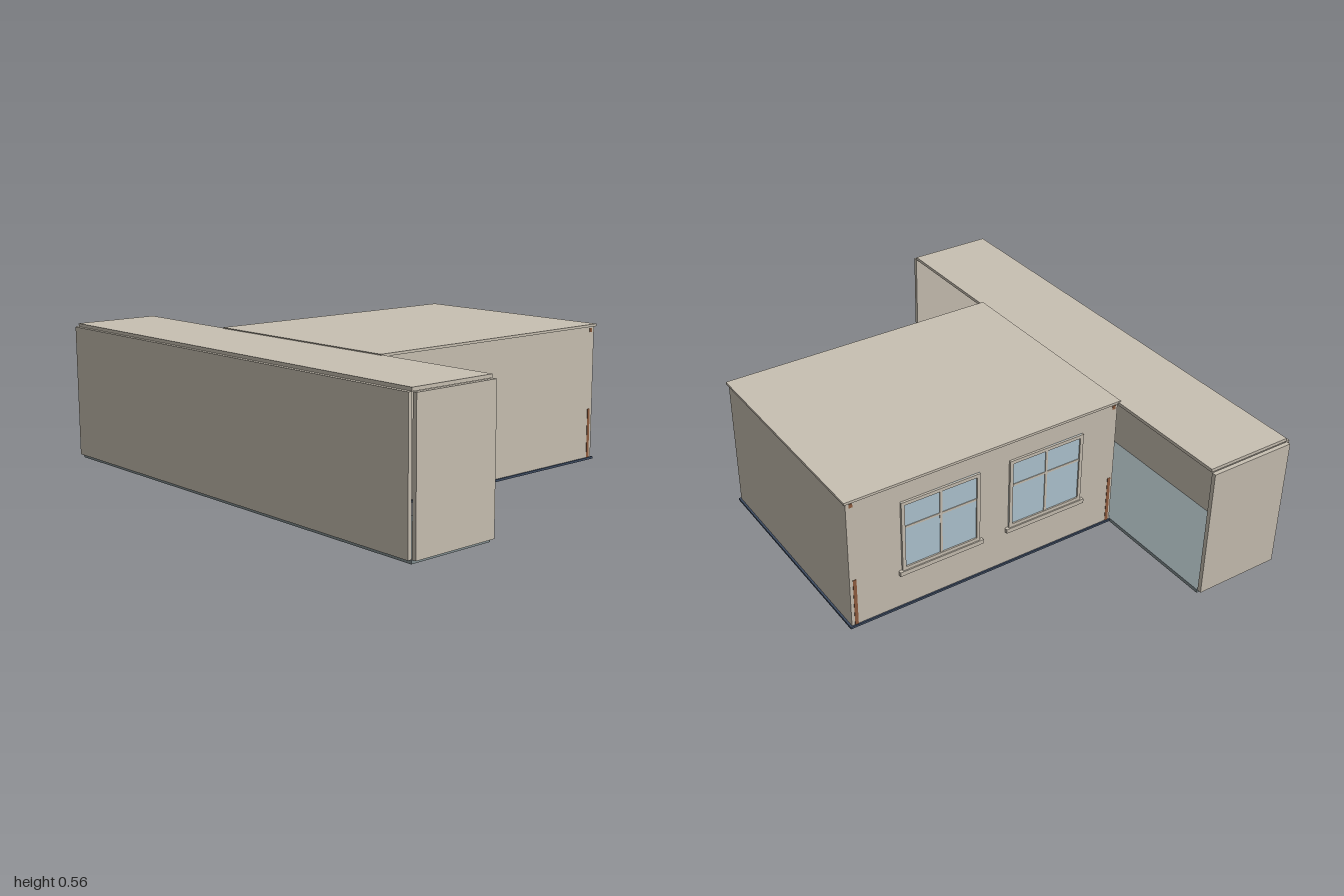
import * as THREE from 'three';

const mat = (name, color) => {
  const m = new THREE.MeshStandardMaterial({ color });
  m.name = name;
  return m;
};

export function createModel() {
  const model = new THREE.Group();
  model.name = 'building';
  const plaster = mat('warm grey plaster', 0xc8c0b2);
  const tile = mat('blue grey floor', 0x808c8f);
  const navy = mat('dark navy floor', 0x3e4c62);
  const wood = mat('brown wood', 0x8f5c3e);
  const glass = mat('pale blue glass', 0xafc6d2);

  // Box given by its minimum and maximum corners
  const slab = (name, material, [x0, y0, z0], [x1, y1, z1], parent = model) => {
    const mesh = new THREE.Mesh(new THREE.BoxGeometry(x1 - x0, y1 - y0, z1 - z0), material);
    mesh.position.set((x0 + x1) / 2, (y0 + y1) / 2, (z0 + z1) / 2);
    mesh.name = name;
    parent.add(mesh);
    return mesh;
  };

  // Cross corridor, open at the back on both sides of the room
  slab('corridorFloor', tile, [-0.98, 0, 0.4], [0.98, 0.015, 0.755]);
  slab('corridorCeiling', plaster, [-0.98, 0.545, 0.4], [0.98, 0.558, 0.755]);
  slab('corridorFrontWall', plaster, [-0.98, 0.015, 0.755], [0.98, 0.545, 0.77]);
  for (const s of [-1, 1]) {
    slab('corridorEndWall', plaster,
      [s > 0 ? 0.983 : -1, 0.015, 0.4], [s > 0 ? 1 : -0.983, 0.545, 0.755]);
  }

  // Back room, opening into the corridor
  slab('roomFloor', navy, [-0.463, 0.003, -0.77], [0.463, 0.012, 0.4]);
  slab('roomCeiling', plaster, [-0.463, 0.552, -0.77], [0.463, 0.562, 0.41]);
  slab('roomBackWall', plaster, [-0.457, 0.012, -0.762], [0.457, 0.552, -0.748]);
  for (const s of [-1, 1]) {
    slab('roomSideWall', plaster,
      [s > 0 ? 0.445 : -0.457, 0.012, -0.748], [s > 0 ? 0.457 : -0.445, 0.552, 0.4]);
    // Wooden corner strips at the foot and top of each side wall
    for (const z of [-0.742, 0.384]) {
      for (const [y0, y1] of [[0.012, 0.215], [0.53, 0.546]]) {
        const strip = slab('cornerStrip', wood, [-0.001, y0, z - 0.007], [0.001, y1, z + 0.007]);
        strip.position.x = s * 0.4575;
      }
    }
  }

  // Two windows in the -x wall
  for (const zc of [-0.385, 0.075]) {
    const win = new THREE.Group();
    win.name = 'window';
    win.position.set(-0.457, 0, zc);
    model.add(win);
    const w = 0.165, f = 0.014, y0 = 0.175, y1 = 0.475;
    slab('windowGlass', glass, [-0.003, y0, -w], [0.001, y1, w], win);
    for (const s of [-1, 1]) {
      const a = s * w, b = s * (w - f);
      slab('frameSide', plaster, [-0.009, y0, Math.min(a, b)], [0, y1, Math.max(a, b)], win);
    }
    slab('frameTop', plaster, [-0.009, y1 - f, -w + f], [0, y1, w - f], win);
    slab('frameBottom', plaster, [-0.009, y0, -w + f], [0, y0 + f, w - f], win);
    slab('verticalBar', plaster, [-0.006, y0 + f, -0.005], [0, y1 - f, 0.005], win);
    slab('crossBar', plaster, [-0.0055, 0.358, -w + f], [0, 0.367, w - f], win);
    slab('windowSill', plaster, [-0.014, 0.157, -0.178], [0, y0, 0.178], win);
  }
  return model;
}
